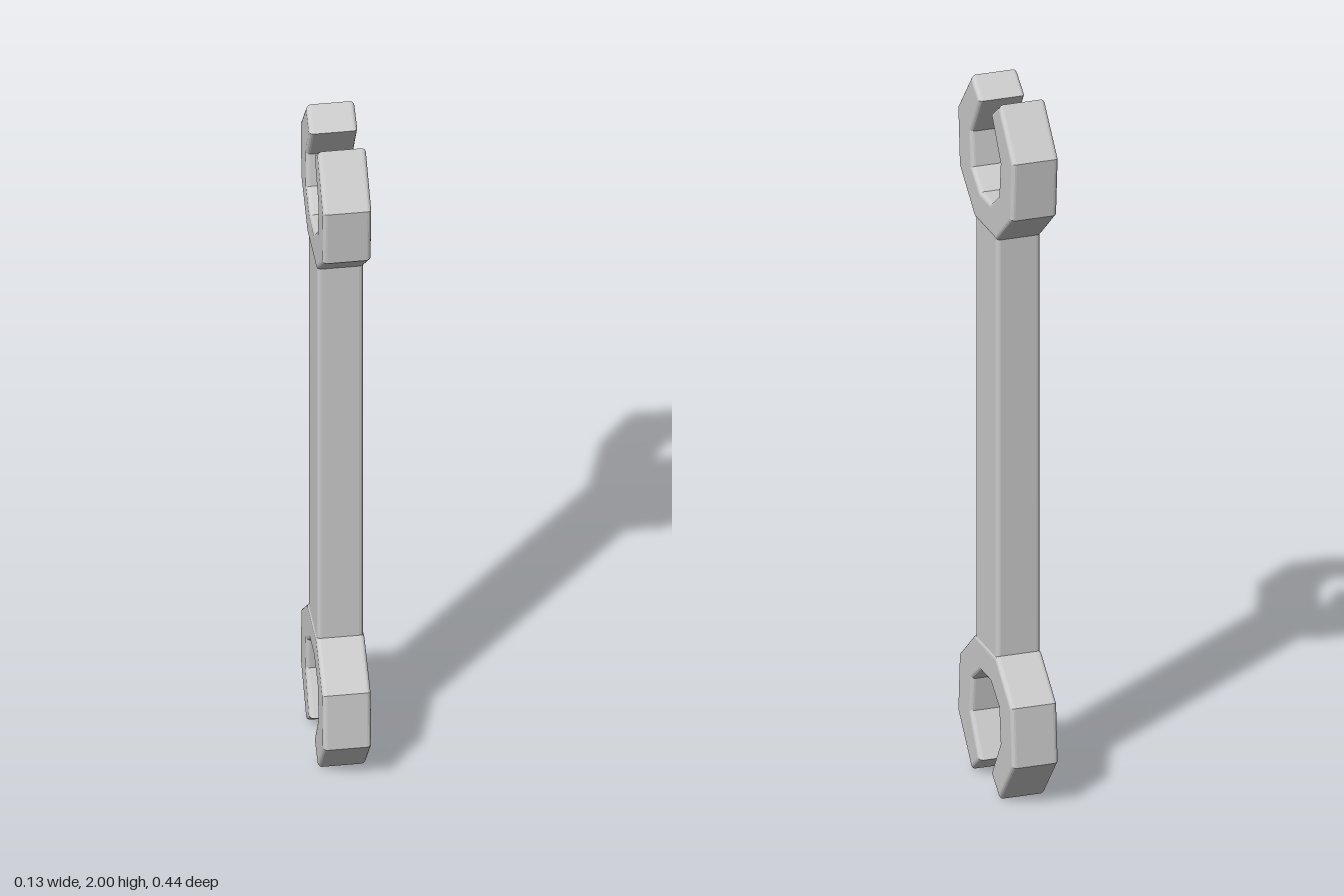
import * as THREE from 'three';

const BEVEL = 0.012;

// Extrude an outline by the given thickness with rounded edges, centred on z = 0
function bevelled(points, thickness) {
  const geometry = new THREE.ExtrudeGeometry(new THREE.Shape(points), {
    depth: thickness - 2 * BEVEL,
    bevelThickness: BEVEL,
    bevelSize: BEVEL,
    bevelOffset: -BEVEL,
    bevelSegments: 4,
  });
  return geometry.translate(0, 0, BEVEL - thickness / 2);
}

export function createModel() {
  const group = new THREE.Group();
  group.name = 'doubleEndedWrench';
  const material = new THREE.MeshStandardMaterial({ color: 0xcccccc });

  // Half outline of the open jaw, from the socket floor round the tip to the neck
  const half = [
    [0.04, 0.31], [0.104, 0.262], [0.115, 0.165], [0.043, 0.05],
    [0.11, 0], [0.22, 0.13], [0.207, 0.297], [0.085, 0.4],
  ].map(([x, y]) => new THREE.Vector2(x, y));
  const mirrored = half.map((p) => new THREE.Vector2(-p.x, p.y)).reverse();
  const jaw = bevelled([...half, ...mirrored], 0.13).rotateY(Math.PI / 2);

  const lowerJaw = new THREE.Mesh(jaw, material);
  lowerJaw.name = 'lowerJaw';

  // Same jaw turned over at the other end
  const upperJaw = new THREE.Mesh(jaw, material);
  upperJaw.name = 'upperJaw';
  upperJaw.rotation.x = Math.PI;
  upperJaw.position.y = 2;

  // Straight bar with rounded long edges, its ends sunk into the jaws
  const w = 0.085, y0 = 0.375, y1 = 1.625;
  const bar = bevelled([
    new THREE.Vector2(-w, y0), new THREE.Vector2(w, y0),
    new THREE.Vector2(w, y1), new THREE.Vector2(-w, y1),
  ], 0.124).rotateY(Math.PI / 2);
  const handle = new THREE.Mesh(bar, material);
  handle.name = 'handle';

  group.add(lowerJaw, upperJaw, handle);
  return group;
}
